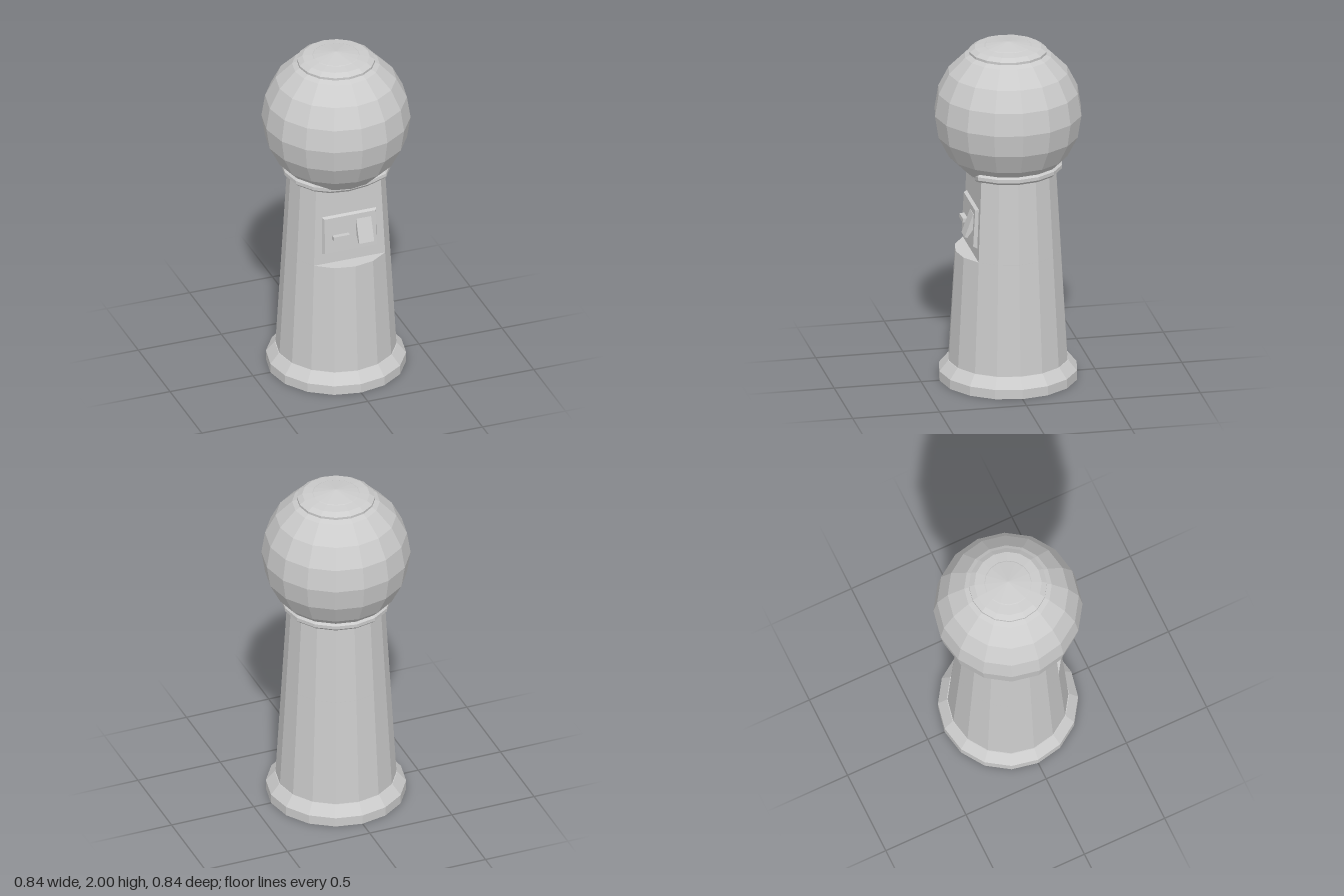
import * as THREE from 'three';

const SIDES = 16;
const COS45 = Math.SQRT1_2;
const material = new THREE.MeshStandardMaterial({ color: 0xcccccc, flatShading: true });

function addMesh(parent, name, geometry, x = 0, y = 0, z = 0) {
  const flat = geometry.index ? geometry.toNonIndexed() : geometry;
  flat.computeVertexNormals();
  const mesh = new THREE.Mesh(flat, material);
  mesh.name = name;
  mesh.position.set(x, y, z);
  parent.add(mesh);
  return mesh;
}

const lathe = (points) =>
  new THREE.LatheGeometry(points.map(([r, y]) => new THREE.Vector2(r, y)), SIDES);

// Flattens the front quarter of a lathe onto its chord where wanted, and lets it sag by `drop`.
function flattenFront(geometry, applies, drop = 0, inset = 0) {
  const p = geometry.attributes.position;
  for (let i = 0; i < p.count; i++) {
    const r = Math.hypot(p.getX(i), p.getZ(i));
    const over = p.getZ(i) - r * COS45;
    if (over < 0.001 || !applies(i % (p.count / (SIDES + 1)))) continue;
    p.setZ(i, r * COS45 - inset);
    p.setY(i, p.getY(i) - drop * over / (r * (1 - COS45)));
  }
  return geometry;
}

export function createModel() {
  const model = new THREE.Group();
  model.name = 'candyDispenser';

  // Foot
  addMesh(model, 'foot', lathe([[0, 0], [0.395, 0], [0.395, 0.055], [0.345, 0.115], [0.3, 0.115]]));

  // Tapered pedestal, its upper front cut flat above a ledge
  const pedestal = lathe([[0.341, 0.11], [0.303, 0.77], [0.303, 0.771], [0.275, 1.26]]);
  addMesh(model, 'pedestal', flattenFront(pedestal, (row) => row >= 2));

  // Collar, dipping below the globe at the front
  const collar = lathe([
    [0.265, 1.25], [0.295, 1.25], [0.31, 1.265], [0.31, 1.285], [0.297, 1.298], [0.24, 1.298],
  ]);
  addMesh(model, 'collar', flattenFront(collar, () => true, 0.045, 0.005));

  // Globe, turned so that its corners match the pedestal
  addMesh(model, 'globe', new THREE.SphereGeometry(0.42, SIDES, 10), 0, 1.585, 0);

  // Lid
  addMesh(model, 'lid', lathe([[0.18, 1.94], [0.22, 1.942], [0.22, 1.956], [0.19, 1.975], [0, 2]]));

  // Coin mechanism, leaning back with the flat front
  const mechanism = new THREE.Group();
  mechanism.name = 'coinMechanism';
  mechanism.position.set(0, 0.953, 0.2065);
  mechanism.rotation.x = -0.055;
  model.add(mechanism);

  // Plate with bevelled edges
  const plate = new THREE.BoxGeometry(0.335, 0.24, 0.03);
  const p = plate.attributes.position;
  for (let i = 0; i < p.count; i++) {
    if (p.getZ(i) < 0) continue;
    p.setX(i, p.getX(i) - Math.sign(p.getX(i)) * 0.013);
    p.setY(i, p.getY(i) - Math.sign(p.getY(i)) * 0.013);
  }
  addMesh(mechanism, 'plate', plate, 0, 0, 0.006);

  // Coin slot bar
  addMesh(mechanism, 'coinSlot', new THREE.BoxGeometry(0.097, 0.024, 0.04), -0.062, -0.013, 0.03);

  // Wedge-shaped lever, its side profile drawn as (z, y)
  const profile = new THREE.Shape(
    [[0.01, 0.075], [0.01, 0.0], [0.05, -0.066], [0.066, -0.062], [0.024, 0.075]]
      .map(([z, y]) => new THREE.Vector2(z, y)));
  const lever = new THREE.ExtrudeGeometry(profile, { depth: 0.09, bevelEnabled: false });
  lever.rotateY(-Math.PI / 2);
  addMesh(mechanism, 'lever', lever, 0.125, 0, 0);

  return model;
}
